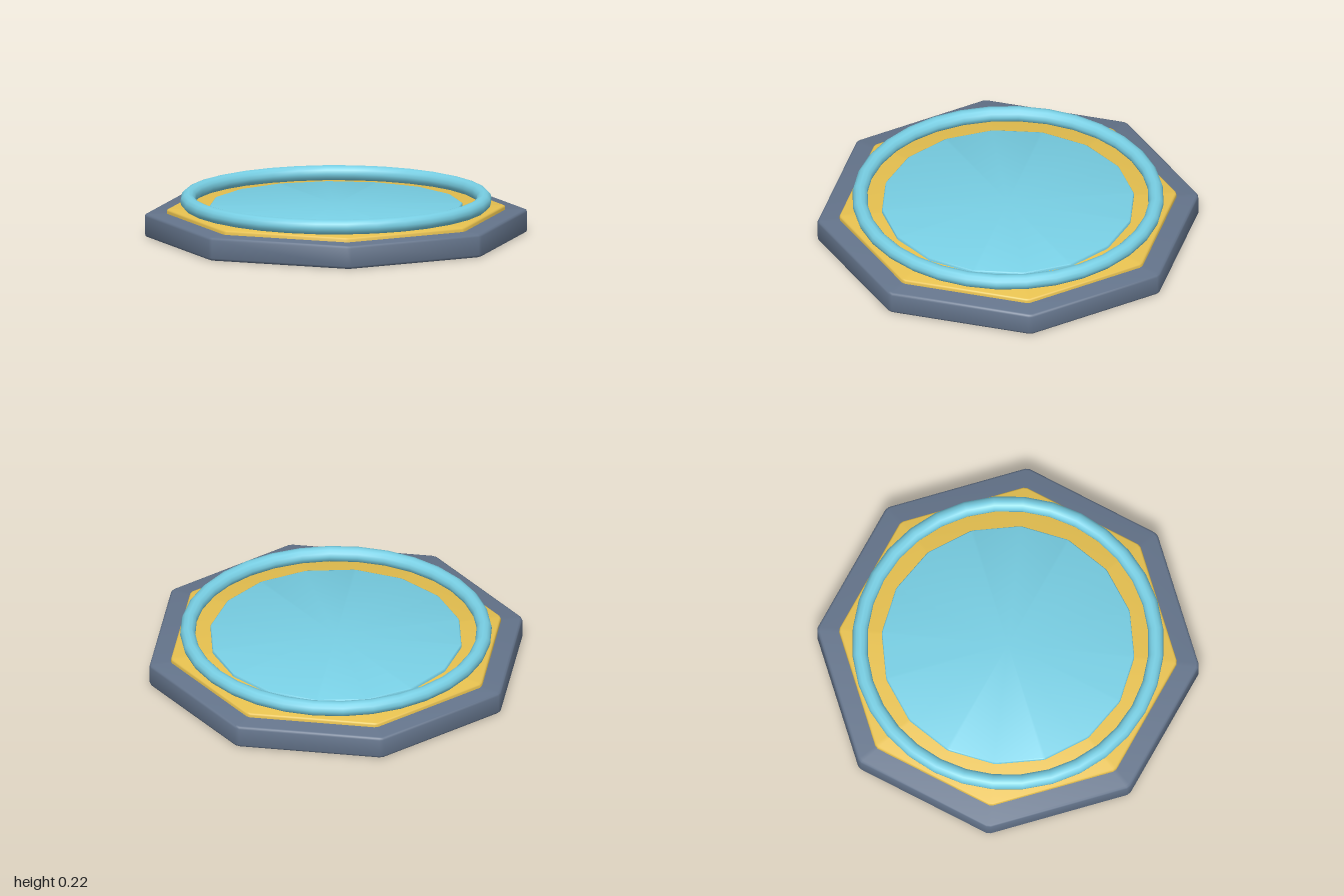
import * as THREE from 'three';
import { toCreasedNormals } from 'three/addons/utils/BufferGeometryUtils.js';

const slate = new THREE.MeshStandardMaterial({ name: 'slate', color: 0x64748b });
const gold = new THREE.MeshStandardMaterial({ name: 'gold', color: 0xe8c250 });
const skyBlue = new THREE.MeshStandardMaterial({ name: 'skyBlue', color: 0x78cfe4 });

// Solid polygonal slab standing on the ground, with softened rims and upright edges
function slab(name, material, sides, radius, height, bevel) {
  const points = [new THREE.Vector2(0, 0)];
  const corner = (y, from) => {
    for (let i = 0; i <= 2; i++) {
      const a = from + (i / 2) * (Math.PI / 2);
      points.push(new THREE.Vector2(radius - bevel + Math.cos(a) * bevel, y + Math.sin(a) * bevel));
    }
  };
  corner(bevel, -Math.PI / 2);
  corner(height - bevel, 0);
  points.push(new THREE.Vector2(0, height));

  // Gather the columns in close pairs, so each upright edge is a narrow chamfer
  const lathe = new THREE.LatheGeometry(points, sides * 2);
  const position = lathe.attributes.position;
  for (let i = 0; i < position.count; i++) {
    const column = Math.floor(i / points.length);
    const point = points[i % points.length];
    const angle = Math.floor(column / 2) * (2 * Math.PI / sides) + (column % 2 ? 0.012 : -0.012);
    position.setXYZ(i, point.x * Math.sin(angle), point.y, point.x * Math.cos(angle));
  }

  const mesh = new THREE.Mesh(toCreasedNormals(lathe, 0.85), material);
  mesh.name = name;
  return mesh;
}

export function createModel() {
  const model = new THREE.Group();
  model.name = 'octagonalPad';

  // Nested plates, each running through to the underside
  model.add(slab('base', slate, 8, 1, 0.122, 0.014));
  model.add(slab('trimPlate', gold, 8, 0.885, 0.144, 0.01));
  model.add(slab('centreDisc', skyBlue, 16, 0.662, 0.16, 0.006));

  // Raised ring resting on the trim plate
  const ring = new THREE.Mesh(new THREE.TorusGeometry(0.775, 0.04, 12, 32), skyBlue);
  ring.name = 'ring';
  ring.rotation.x = -Math.PI / 2;
  ring.position.y = 0.183;
  model.add(ring);

  return model;
}
